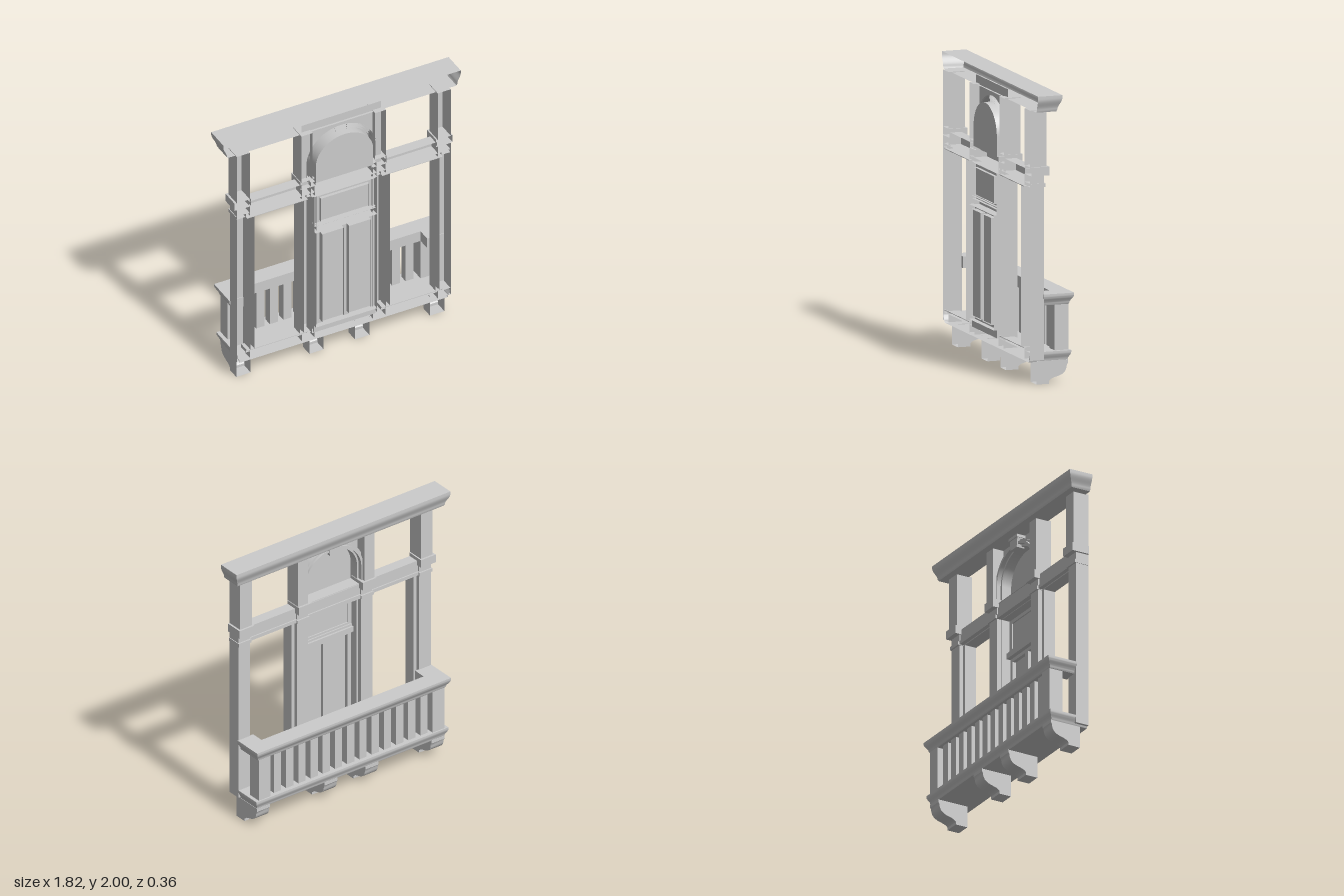
import * as THREE from 'three';
import { toCreasedNormals } from 'three/addons/utils/BufferGeometryUtils.js';

const material = new THREE.MeshStandardMaterial({ color: 0xcccccc, side: THREE.DoubleSide });

// Removes the faces lying on the rear (+1) or outer (-1) z plane, leaving an open shell
function openFace(geometry, sign) {
  const g = geometry.index ? geometry.toNonIndexed() : geometry;
  const p = g.attributes.position;
  let limit = -Infinity;
  for (let i = 0; i < p.count; i++) limit = Math.max(limit, p.getZ(i) * sign);
  const kept = [];
  for (let i = 0; i < p.count; i += 3) {
    const onPlane = [0, 1, 2].every(k => p.getZ(i + k) * sign > limit - 1e-4);
    if (onPlane) continue;
    for (let k = 0; k < 3; k++) kept.push(p.getX(i + k), p.getY(i + k), p.getZ(i + k));
  }
  const out = new THREE.BufferGeometry();
  out.setAttribute('position', new THREE.Float32BufferAttribute(kept, 3));
  return toCreasedNormals(out, 0.6);
}

function box(x0, x1, y0, y1, z0, z1) {
  return new THREE.BoxGeometry(x1 - x0, y1 - y0, z1 - z0)
    .translate((x0 + x1) / 2, (y0 + y1) / 2, (z0 + z1) / 2);
}

// Stacks an outline (x, z points widened by an offset) through [y, offset] levels
function moulding(outline, levels) {
  const rings = levels.map(([y, o]) => outline(o).map(([x, z]) => [x, y, z]));
  const v = [];
  for (let l = 0; l < rings.length - 1; l++) {
    const lo = rings[l], hi = rings[l + 1];
    lo.forEach((a, i) => {
      const j = (i + 1) % lo.length;
      v.push(...a, ...lo[j], ...hi[j], ...a, ...hi[j], ...hi[i]);
    });
  }
  const flat = rings[0].map(([x, , z]) => new THREE.Vector2(x, -z));
  const top = rings[rings.length - 1];
  for (const [a, b, c] of THREE.ShapeUtils.triangulateShape(flat, [])) {
    v.push(...top[a], ...top[b], ...top[c], ...rings[0][c], ...rings[0][b], ...rings[0][a]);
  }
  const g = new THREE.BufferGeometry();
  g.setAttribute('position', new THREE.Float32BufferAttribute(v, 3));
  return toCreasedNormals(g, 0.6);
}

// Soft ogee profile that widens towards the top
function ogeeLevels(y0, y1, reach) {
  const h = y1 - y0, levels = [[y0, 0]];
  for (let i = 0; i <= 8; i++) {
    const t = i / 8;
    levels.push([y0 + h * (0.1 + 0.72 * t), reach * (0.15 + 0.85 * t * t * (3 - 2 * t))]);
  }
  levels.push([y1, reach]);
  return levels;
}

const slab = (half, back, front) => o => [
  [-half - o, back], [half + o, back], [half + o, front - o], [-half - o, front - o]];

function rectPath(target, x0, x1, y0, y1) {
  target.moveTo(x0, y0).lineTo(x1, y0).lineTo(x1, y1).lineTo(x0, y1).closePath();
  return target;
}

// Slightly flattened arch on straight legs
function archPath(target, r, y0) {
  target.moveTo(-r, y0).lineTo(r, y0).lineTo(r, 1.605);
  target.absellipse(0, 1.605, r, r - 0.02, 0, Math.PI, false, 0);
  target.closePath();
  return target;
}

function extrude(shape, z0, z1) {
  return new THREE.ExtrudeGeometry(shape, { depth: z1 - z0, bevelEnabled: false, curveSegments: 20 })
    .translate(0, 0, z0);
}

export function createModel() {
  const model = new THREE.Group();
  const add = (name, geometry) => {
    const mesh = new THREE.Mesh(geometry, material);
    mesh.name = name;
    model.add(mesh);
  };
  const span = (s, a, b) => (s > 0 ? [a, b] : [-b, -a]);
  // Hollow block with an open rear
  const shell = (name, x, y0, y1, z0, z1) => add(name, openFace(box(...x, y0, y1, z0, z1), 1));

  // Cornice
  add('cornice', openFace(moulding(slab(0.878, 0.115, -0.028), ogeeLevels(1.885, 2, 0.032)), 1));

  for (const s of [1, -1]) {
    // Outer pillar
    shell('outerPillarLower', span(s, 0.72, 0.82), 0.17, 1.44, 0.04, 0.14);
    shell('outerPillarNeck', span(s, 0.715, 0.825), 1.36, 1.385, 0.028, 0.135);
    shell('outerPillarCap', span(s, 0.71, 0.835), 1.44, 1.5, 0.005, 0.135);
    shell('outerPillarUpper', span(s, 0.72, 0.82), 1.5, 1.89, 0.02, 0.14);

    // Inner pillar
    shell('innerPillarLower', span(s, 0.225, 0.32), 0.17, 1.44, 0.04, 0.14);
    shell('innerPillarNeck', span(s, 0.22, 0.325), 1.36, 1.385, 0.028, 0.135);
    shell('innerPillarCap', span(s, 0.215, 0.33), 1.44, 1.5, 0.005, 0.135);
    shell('innerPillarUpper', span(s, 0.24, 0.325), 1.5, 1.89, 0.02, 0.14);

    // Side opening: jambs, sill, head and the beam above
    shell('sideJamb', span(s, 0.315, 0.345), 0.25, 1.36, 0.07, 0.157);
    shell('sideJamb', span(s, 0.695, 0.725), 0.25, 1.36, 0.07, 0.157);
    for (const [name, y0, y1, edge] of [['sideSill', 0.225, 0.25, 0.25], ['sideHead', 1.36, 1.385, 1.36]]) {
      shell(name, span(s, 0.285, 0.75), y0, y1, 0.07, 0.14);
      add(name + 'Plate', box(...span(s, 0.285, 0.75), edge - 0.002, edge + 0.002, 0.07, 0.157));
    }
    shell('sideBeam', span(s, 0.32, 0.72), 1.385, 1.475, 0.05, 0.13);
    shell('sideBeamFillet', span(s, 0.32, 0.72), 1.365, 1.39, 0.04, 0.13);

    // Balcony corner post
    add('cornerPost', box(...span(s, 0.69, 0.79), 0.225, 0.545, -0.15, -0.05));
  }

  // Wall plate around the arch
  const plate = rectPath(new THREE.Shape(), -0.305, 0.305, 1.44, 1.945);
  plate.holes.push(archPath(new THREE.Path(), 0.262, 1.46));
  add('archWall', new THREE.ShapeGeometry(plate, 20).translate(0, 0, 0.1));

  // Stepped arch moulding
  for (const [rOut, rIn, z] of [[0.265, 0.247, 0.06], [0.25, 0.232, 0.045], [0.236, 0.218, 0.075]]) {
    const ring = archPath(new THREE.Shape(), rOut, 1.47);
    ring.holes.push(archPath(new THREE.Path(), rIn, 1.471));
    add('archMoulding', openFace(extrude(ring, z, 0.105), 1));
  }
  add('archPanel', openFace(extrude(archPath(new THREE.Shape(), 0.22, 1.47), 0.08, 0.15), -1));

  // Keystone
  const key = new THREE.Shape();
  key.moveTo(-0.04, 1.79).lineTo(0.04, 1.79).lineTo(0.05, 1.86).lineTo(-0.05, 1.86).closePath();
  add('keystone', openFace(extrude(key, 0.038, 0.1), 1));
  shell('keystoneCap', [-0.055, 0.055], 1.86, 1.88, 0.03, 0.1);

  // Door: beam and lining
  shell('doorBeam', [-0.25, 0.25], 1.385, 1.475, 0.05, 0.14);
  shell('doorBeamFillet', [-0.25, 0.25], 1.36, 1.39, 0.04, 0.14);
  const lining = rectPath(new THREE.Shape(), -0.25, 0.25, 0.22, 1.36);
  lining.holes.push(rectPath(new THREE.Path(), -0.215, 0.215, 0.225, 1.355));
  add('doorLining', openFace(extrude(lining, 0.075, 0.15), 1));
  add('doorKickboard', box(-0.235, 0.235, 0.225, 0.28, 0.14, 0.155));

  // Door leaf and light above: channel frames, open at the rear, around flat panels
  const leaves = [
    { y: [0.28, 1.07], z: [0.14, 0.178], panels: [[-0.185, -0.02, 0.31, 1.045], [0.02, 0.185, 0.31, 1.045]] },
    { y: [1.11, 1.36], z: [0.135, 0.157], panels: [[-0.185, 0.185, 1.14, 1.33]] },
  ];
  for (const { y, z, panels } of leaves) {
    const leaf = rectPath(new THREE.Shape(), -0.235, 0.235, ...y);
    for (const p of panels) {
      leaf.holes.push(rectPath(new THREE.Path(), ...p));
      add('doorPanel', openFace(box(...p, z[0], z[1] - 0.012), -1));
    }
    add('doorLeaf', openFace(extrude(leaf, ...z), 1));
  }
  shell('transomBar', [-0.235, 0.235], 1.07, 1.11, 0.11, 0.157);
  shell('transomFillet', [-0.235, 0.235], 1.11, 1.125, 0.125, 0.155);

  // Balcony floor
  add('balconyFloor', openFace(moulding(slab(0.795, 0.14, -0.138), ogeeLevels(0.155, 0.225, 0.022)), 1));

  // U-shaped handrail ending against the pillars
  const railOutline = o => [
    [-0.795 - o, 0.045], [-0.69, 0.045], [-0.69, -0.05], [0.69, -0.05],
    [0.69, 0.045], [0.795 + o, 0.045], [0.795 + o, -0.148 - o], [-0.795 - o, -0.148 - o]];
  add('handrail', moulding(railOutline, ogeeLevels(0.54, 0.62, 0.03)));

  // Balusters
  for (let i = 0; i < 13; i++) {
    const x = -0.632 + i * 0.104;
    add('baluster', box(x - 0.031, x + 0.031, 0.225, 0.545, -0.13, -0.07));
  }

  // Scrolled brackets
  const profile = new THREE.Shape();
  profile.moveTo(-0.085, 0).lineTo(0.005, 0).lineTo(0.005, 0.02);
  profile.bezierCurveTo(0.03, 0.06, 0.13, 0.03, 0.135, 0.125);
  profile.lineTo(0.142, 0.135).lineTo(0.142, 0.16).lineTo(-0.085, 0.16).closePath();
  for (const x of [-0.74, -0.18, 0.17, 0.745]) {
    const g = new THREE.ExtrudeGeometry(profile, { depth: 0.11, bevelEnabled: false, curveSegments: 14 });
    add('bracket', openFace(g.rotateY(Math.PI / 2).translate(x - 0.055, 0, 0), 1));
  }
  return model;
}
